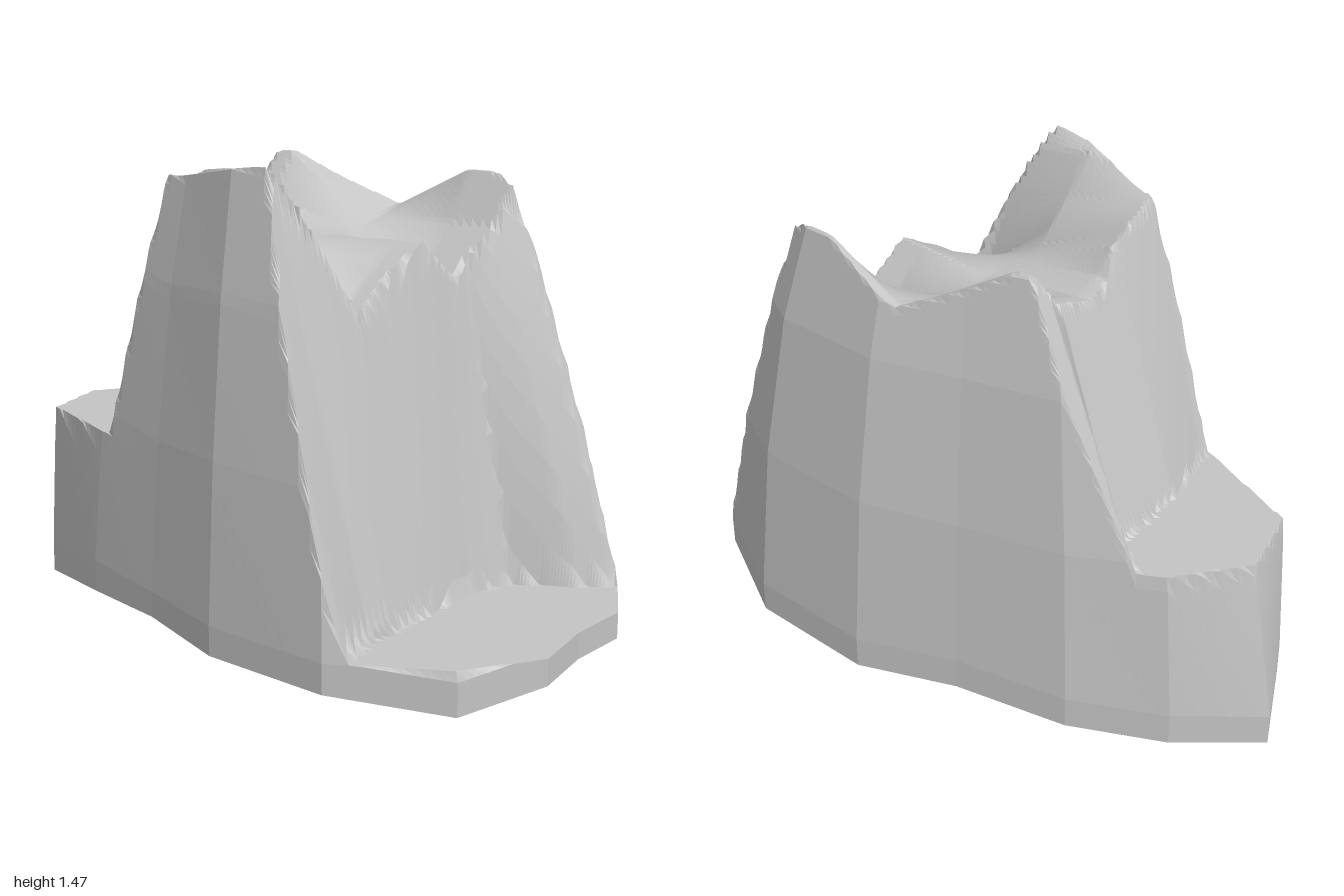
import * as THREE from 'three';

// Footprint corners, counter-clockwise from above: x, z, height of the lower edge, flare of the flank
const OUTLINE = [
  [-1, -0.02, 0, 1.75], [-0.86, 0.23, 0.04, 0.5], [-0.53, 0.37, 0.08, 0.9], [-0.2, 0.47, 0.1, 1],
  [0.12, 0.58, 0.09, 0.95], [0.54, 0.605, 0.09, 1], [0.86, 0.43, 0.05, 1], [1, 0.2, 0.1, 1],
  [0.97, -0.02, 0.1, 1], [0.98, -0.23, 0.1, 1], [0.86, -0.45, 0.07, 1], [0.53, -0.61, 0.05, 1],
  [0.11, -0.61, 0.05, 1], [-0.2, -0.5, 0.07, 1], [-0.54, -0.4, 0.05, 1], [-0.8, -0.24, 0.03, 1],
];
const SPLIT = 10;
const LEDGE = 0.6, FLOOR = 0.18;

// Piecewise linear lookup in a list of [key, value], keys rising
function lookup(table, k) {
  if (k <= table[0][0]) return table[0][1];
  for (let i = 1; i < table.length; i++) {
    const [k0, v0] = table[i - 1], [k1, v1] = table[i];
    if (k <= k1) return v0 + (v1 - v0) * (k - k0) / (k1 - k0);
  }
  return table[table.length - 1][1];
}

// Cliff foot and brow positions in x, by z
const RIGHT_FOOT = [[-0.43, 0.87], [-0.35, 0.78], [-0.25, 0.61], [-0.1, 0.56], [0.4, 0.55], [0.55, 0.59]];
const RIGHT_BROW = [[-0.43, 0.48], [-0.35, 0.42], [-0.25, 0.37], [-0.1, 0.37], [0.1, 0.31], [0.3, 0.28], [0.42, 0.25]];
const LEFT_FOOT = [[-0.27, -0.68], [-0.18, -0.55], [0.1, -0.53], [0.33, -0.46]];
const LEFT_BROW = [[-0.27, -0.38], [-0.18, -0.31], [0.1, -0.29], [0.33, -0.27]];

// Summit sections by z at three stations in x: two ridges with a saddle between
const SUMMIT_LEFT = [[-0.3, 1.42], [-0.2, 1.29], [-0.05, 1.24], [0.04, 1.27], [0.1, 1.34], [0.2, 1.38], [0.33, 1.41]];
const SUMMIT_MIDDLE = [[-0.44, 1.26], [-0.2, 1.2], [0, 1.21], [0.15, 1.22], [0.28, 1.34], [0.37, 1.45]];
const SUMMIT_RIGHT = [[-0.44, 1.39], [-0.35, 1.24], [-0.2, 1.1], [-0.08, 1.22], [0.05, 1.15], [0.2, 1.04], [0.3, 1.25], [0.42, 1.48]];

function terrain(x, z) {
  const summit = lookup([
    [-0.27, lookup(SUMMIT_LEFT, z)],
    [0.04, lookup(SUMMIT_MIDDLE, z)],
    [0.3, lookup(SUMMIT_RIGHT, z)],
  ], x);
  const rf = lookup(RIGHT_FOOT, z), rb = lookup(RIGHT_BROW, z);
  const lf = lookup(LEFT_FOOT, z), lb = lookup(LEFT_BROW, z);
  const right = FLOOR + (1.35 - FLOOR) * (rf - x) / (rf - rb);
  const left = LEDGE + (1.3 - LEDGE) * (x - lf) / (lb - lf);
  return Math.min(summit, Math.max(FLOOR, right), Math.max(LEDGE, left));
}

// Tapering outer flank, by fraction of the way out from the middle
function flank(s, rim, flare) {
  const inset = (1 - s) / flare;
  return lookup([[0, rim], [0.06, 0.64], [0.16, 1.1], [0.29, 1.47], [0.5, 2.2]], inset);
}

// Joins rings of equal length, from the inside outwards or downwards
function loft(rings) {
  const n = rings[0].length, pos = [];
  for (let i = 0; i + 1 < rings.length; i++) {
    for (let j = 0; j < n; j++) {
      const k = (j + 1) % n;
      const a = rings[i][j], b = rings[i][k], c = rings[i + 1][j], d = rings[i + 1][k];
      if (c !== d) pos.push(...a, ...c, ...d);
      if (a !== b) pos.push(...a, ...d, ...b);
    }
  }
  const geo = new THREE.BufferGeometry();
  geo.setAttribute('position', new THREE.Float32BufferAttribute(pos, 3));
  geo.computeVertexNormals();
  return geo;
}

export function createModel() {
  const group = new THREE.Group();
  group.name = 'rockOutcrop';
  const stone = new THREE.MeshStandardMaterial({ color: 0xc4c4c4 });
  stone.name = 'greyStone';

  // Subdivided footprint edge
  const edge = [];
  OUTLINE.forEach((p, i) => {
    const q = OUTLINE[(i + 1) % OUTLINE.length];
    for (let k = 0; k < SPLIT; k++) edge.push(p.map((v, c) => v + (q[c] - v) * k / SPLIT));
  });
  const rimHeight = (low) => Math.min(low + 0.1, FLOOR);

  // Cliffs, ledge, floor and summit
  const fractions = [];
  for (let i = 1; i < 36; i++) fractions.push(0.7 * i / 36);
  for (let i = 0; i <= 30; i++) fractions.push(0.7 + 0.3 * i / 30);
  const top = [0, terrain(0, 0), 0];
  const rings = [edge.map(() => top)];
  for (const s of fractions) {
    rings.push(edge.map(([x, z, low, flare]) =>
      [x * s, Math.min(flank(s, rimHeight(low), flare), terrain(x * s, z * s)), z * s]));
  }
  const cliffs = new THREE.Mesh(loft(rings), stone);
  cliffs.name = 'cliffs';

  // Upright band around the foot, closed by the underside
  const under = [0, 0.08, 0];
  const foot = new THREE.Mesh(loft([
    rings[rings.length - 1],
    edge.map(([x, z, low]) => [x, low, z]),
    edge.map(() => under),
  ]), stone);
  foot.name = 'footing';

  group.add(cliffs, foot);
  return group;
}
